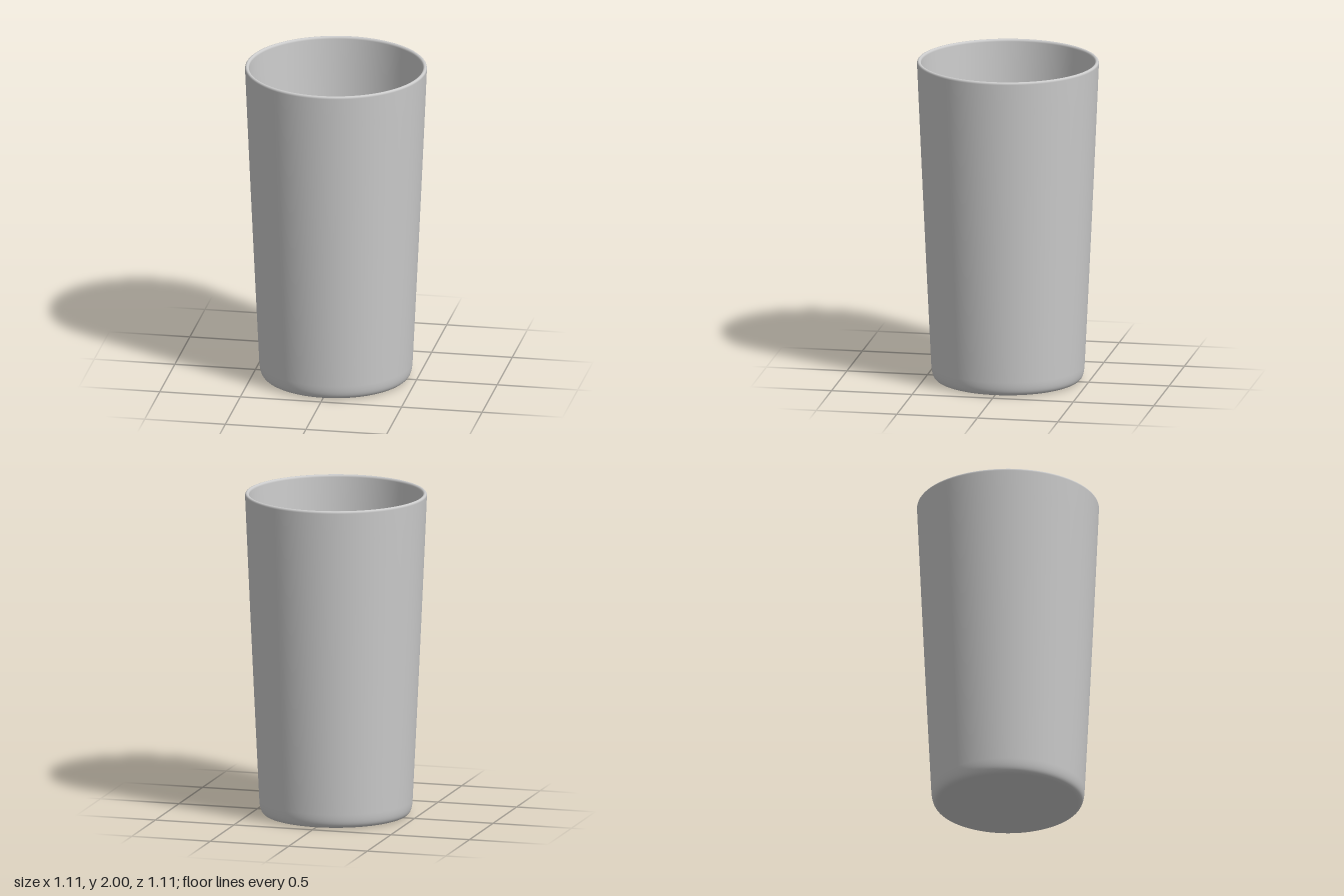
import * as THREE from 'three';

export function createModel() {
  const group = new THREE.Group();
  group.name = 'tumbler';

  // Closed profile: underside, outer wall, rounded rim, inner wall, floor
  const profile = new THREE.Path();
  profile.moveTo(0, 0.006);
  profile.lineTo(0.28, 0.006);
  profile.bezierCurveTo(0.31, 0.006, 0.32, 0, 0.35, 0);
  profile.lineTo(0.41, 0);
  profile.bezierCurveTo(0.45, 0, 0.464, 0.02, 0.468, 0.09);
  profile.quadraticCurveTo(0.513, 1.0, 0.555, 1.985);
  profile.bezierCurveTo(0.556, 2.005, 0.531, 2.005, 0.53, 1.985);
  profile.quadraticCurveTo(0.488, 1.0, 0.443, 0.11);
  profile.bezierCurveTo(0.44, 0.06, 0.43, 0.04, 0.395, 0.04);
  profile.lineTo(0, 0.04);

  const points = profile.getPoints(12);
  points[0].x = points[points.length - 1].x = 0;

  const cup = new THREE.Mesh(
    new THREE.LatheGeometry(points, 96),
    new THREE.MeshStandardMaterial({ color: 0xcccccc })
  );
  cup.name = 'cup';
  group.add(cup);
  return group;
}
